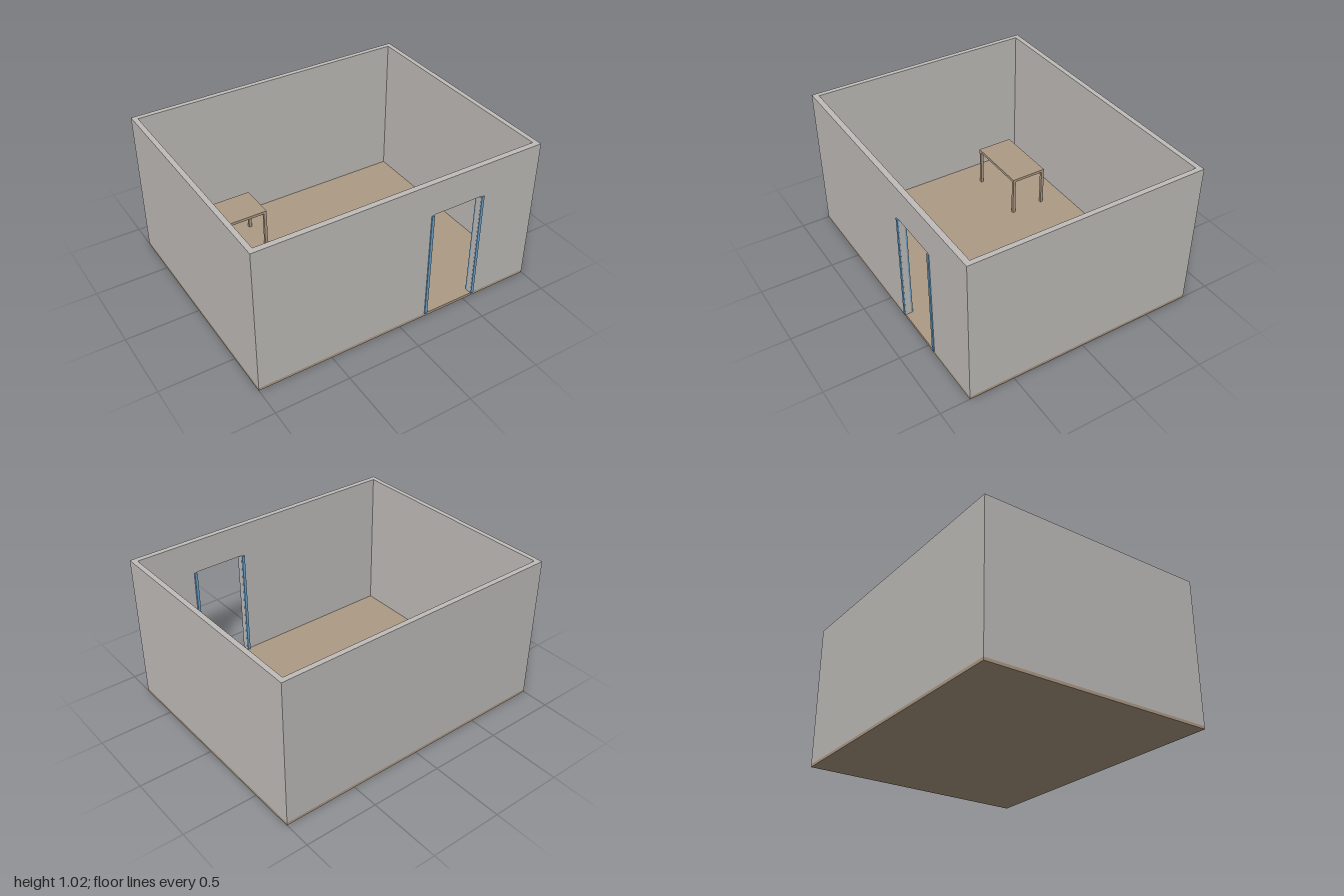
import * as THREE from 'three';

export function createModel() {
  const room = new THREE.Group();
  room.name = 'room';

  const material = (name, color) => {
    const m = new THREE.MeshStandardMaterial({ color });
    m.name = name;
    return m;
  };
  const wallGrey = material('wall grey', 0xbfbcb9);
  const woodBrown = material('wood brown', 0xad9a84);
  const frameBlue = material('frame blue', 0x6ba3cc);

  // Box given by its lower and upper corners
  const block = (name, mat, [x0, y0, z0], [x1, y1, z1], parent = room) => {
    const mesh = new THREE.Mesh(new THREE.BoxGeometry(x1 - x0, y1 - y0, z1 - z0), mat);
    mesh.position.set((x0 + x1) / 2, (y0 + y1) / 2, (z0 + z1) / 2);
    mesh.name = name;
    parent.add(mesh);
  };

  const floorY = 0.02, top = 1.02;
  const back = -0.81, front = 0.803, innerBack = -0.775, innerFront = 0.765;
  const doorLeft = 0.208, doorRight = 0.56, doorTop = 0.793;

  // Floor slab and plain walls
  block('floor', woodBrown, [-1, 0, back], [1, floorY, front]);
  block('backWall', wallGrey, [-1, floorY, back], [1, top, innerBack]);
  block('rightWall', wallGrey, [-1, floorY, innerBack], [-0.966, top, innerFront]);
  block('leftWall', wallGrey, [0.966, floorY, innerBack], [1, top, innerFront]);

  // Front wall, notched for the doorway
  const outline = new THREE.Shape([
    [-1, floorY], [doorLeft, floorY], [doorLeft, doorTop], [doorRight, doorTop],
    [doorRight, floorY], [1, floorY], [1, top], [-1, top],
  ].map(([x, y]) => new THREE.Vector2(x, y)));
  const frontWall = new THREE.Mesh(
    new THREE.ExtrudeGeometry(outline, { depth: front - innerFront, bevelEnabled: false }), wallGrey);
  frontWall.position.z = innerFront;
  frontWall.name = 'frontWall';
  room.add(frontWall);

  // Door posts, standing proud of the wall on both sides
  block('doorPostRight', frameBlue, [0.188, floorY, 0.753], [doorLeft - 0.001, 0.79, 0.81]);
  block('doorPostLeft', frameBlue, [doorRight + 0.001, floorY, 0.753], [0.58, 0.79, 0.81]);

  // Table with four corner legs
  const table = new THREE.Group();
  table.name = 'table';
  room.add(table);
  block('tableTop', woodBrown, [-0.77, 0.288, -0.6], [-0.31, 0.308, -0.34], table);
  for (const x of [-0.77, -0.33])
    for (const z of [-0.6, -0.36])
      block('tableLeg', woodBrown, [x, floorY, z], [x + 0.02, 0.288, z + 0.02], table);

  return room;
}
